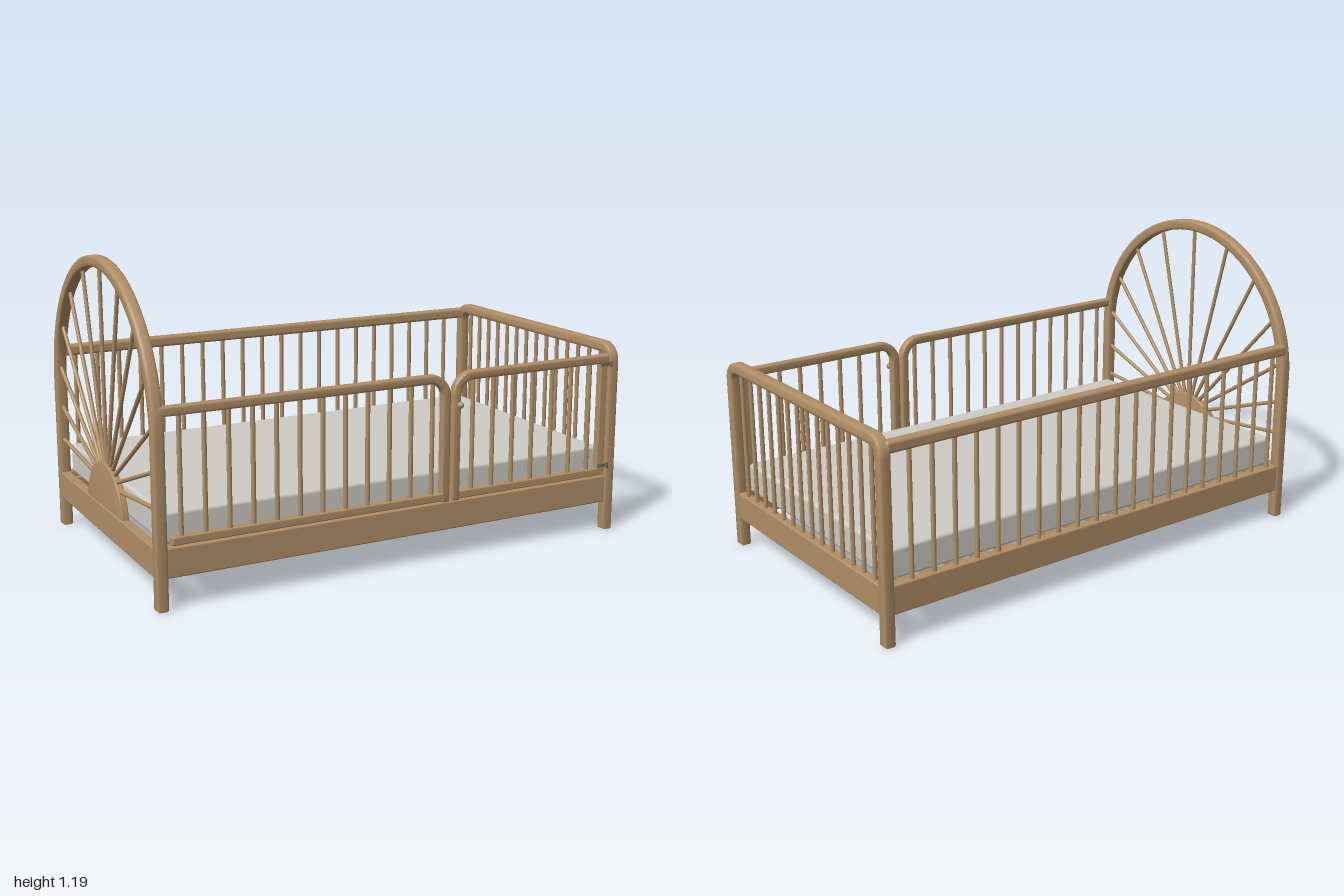
import * as THREE from 'three';
import { toCreasedNormals } from 'three/addons/utils/BufferGeometryUtils.js';
import { RoundedBoxGeometry } from 'three/addons/geometries/RoundedBoxGeometry.js';

const wood = new THREE.MeshStandardMaterial({ color: 0xb08e66 });
wood.name = 'oak wood';
const fabric = new THREE.MeshStandardMaterial({ color: 0xcdcbc4 });
fabric.name = 'mattress fabric';
const metal = new THREE.MeshStandardMaterial({ color: 0x6f675c });
metal.name = 'hinge metal';

const ZC = -0.009;      // middle of the frame in depth
const HALF = 0.571;     // half the frame width
const T = 0.043;        // frame member thickness
const PI = Math.PI;

function add(parent, name, geometry, material, x = 0, y = 0, z = 0) {
  const mesh = new THREE.Mesh(geometry, material);
  mesh.name = name;
  mesh.position.set(x, y, z);
  parent.add(mesh);
  return mesh;
}

// Box given by its limits, with softened edges
function bar(parent, name, x0, x1, y0, y1, z0, z1, r = 0.006, material = wood) {
  const g = new RoundedBoxGeometry(x1 - x0, y1 - y0, z1 - z0, 2, r);
  return add(parent, name, g, material, (x0 + x1) / 2, (y0 + y1) / 2, (z0 + z1) / 2);
}

// Extrusion centred on its own depth, with rounded edges inside the outline
function plate(shape, depth, bevel) {
  const g = new THREE.ExtrudeGeometry(shape, {
    depth: depth - 2 * bevel, bevelEnabled: true, bevelThickness: bevel,
    bevelSize: bevel, bevelOffset: -bevel, bevelSegments: 3, curveSegments: 32,
  });
  g.translate(0, 0, -depth / 2 + bevel);
  return toCreasedNormals(g, 0.6);
}

// Thin round rod between two points
function rod(parent, name, a, b, radius) {
  const d = new THREE.Vector3().subVectors(b, a);
  const mesh = add(parent, name, new THREE.CylinderGeometry(radius, radius, d.length(), 12), wood);
  mesh.position.addVectors(a, b).multiplyScalar(0.5);
  mesh.quaternion.setFromUnitVectors(new THREE.Vector3(0, 1, 0), d.normalize());
}

function spindles(parent, name, count, from, to, y0, y1, radius, place) {
  for (let i = 0; i < count; i++) {
    const [x, z] = place(from + (to - from) * i / (count - 1));
    rod(parent, name, new THREE.Vector3(x, y0, z), new THREE.Vector3(x, y1, z), radius);
  }
}

// Two legs joined by a top rail with round corners
function hoop(top, R) {
  const s = new THREE.Shape(), c = HALF - R, y = top - R, r = R - T;
  s.moveTo(HALF, 0);
  s.lineTo(HALF, y);
  s.absarc(c, y, R, 0, PI / 2, false);
  s.absarc(-c, y, R, PI / 2, PI, false);
  s.lineTo(-HALF, 0);
  s.lineTo(-HALF + T, 0);
  s.lineTo(-HALF + T, y);
  s.absarc(-c, y, r, PI, PI / 2, true);
  s.absarc(c, y, r, PI / 2, 0, true);
  s.lineTo(HALF - T, 0);
  s.closePath();
  return plate(s, 0.046, 0.01);
}

// Bed end: built in its own x-y plane, then turned to face along x
function bedEnd(name, x, top, R) {
  const g = new THREE.Group();
  g.name = name;
  g.position.set(x, 0, ZC);
  g.rotation.y = PI / 2;
  add(g, name + 'Frame', hoop(top, R), wood);
  bar(g, name + 'LowerRail', -HALF + 0.03, HALF - 0.03, 0.118, 0.229, -0.019, 0.019);
  return g;
}

function headboard() {
  const g = bedEnd('headboard', -0.977, 1.19, HALF);
  // Half-round sun sitting on the lower rail
  const R = 0.2, cy = 0.205, a = Math.asin(0.015 / R);
  const s = new THREE.Shape();
  s.absarc(0, cy, R, a, PI - a, false);
  s.closePath();
  add(g, 'sunDisc', plate(s, 0.028, 0.004), wood);
  // Rays run from the sun to the inside of the hoop
  const oy = 0.312, r = HALF - T + 0.006, arcY = 1.19 - HALF;
  for (let i = -6; i <= 6; i++) {
    const t = i * 14 * PI / 180, dx = Math.sin(t), dy = Math.cos(t), k = arcY - oy;
    let len = dy * k + Math.sqrt(r * r - k * k * dx * dx);
    if (oy + dy * len < arcY) len = r / Math.abs(dx);
    rod(g, 'sunRay', new THREE.Vector3(dx * 0.04, oy + dy * 0.04, 0),
      new THREE.Vector3(dx * len, oy + dy * len, 0), 0.008);
  }
  return g;
}

function footboard() {
  const g = bedEnd('footboard', 0.977, 0.782, 0.075);
  spindles(g, 'footSpindle', 14, -0.479, 0.479, 0.22, 0.75, 0.0085, (u) => [u, 0]);
  return g;
}

// Front guard panel: post with a round shoulder at local x = 0, rail toward +x
function guard(name, x, turned, length, lowerLength, count, first, last) {
  const g = new THREE.Group();
  g.name = name;
  g.position.set(x, 0, 0.538);
  if (turned) g.rotation.y = PI;
  const R = 0.09, t = 0.036, top = 0.737, s = new THREE.Shape();
  s.moveTo(0, 0.229);
  s.lineTo(t, 0.229);
  s.lineTo(t, top - R);
  s.absarc(R, top - R, R - t, PI, PI / 2, true);
  s.lineTo(length, top - t);
  s.lineTo(length, top);
  s.lineTo(R, top);
  s.absarc(R, top - R, R, PI / 2, PI, false);
  s.closePath();
  add(g, name + 'Frame', plate(s, 0.034, 0.008), wood);
  bar(g, name + 'LowerRail', 0.02, lowerLength, 0.234, 0.266, -0.015, 0.015);
  spindles(g, name + 'Spindle', count, first, last, 0.255, 0.715, 0.009, (u) => [u, 0]);
  return g;
}

export function createModel() {
  const bed = new THREE.Group();
  bed.name = 'toddlerBed';
  bed.add(headboard(), footboard());

  // Long base rails
  bar(bed, 'frontBaseRail', -0.965, 0.965, 0.118, 0.23, 0.518, 0.556);
  bar(bed, 'backBaseRail', -0.965, 0.965, 0.118, 0.23, -0.576, -0.538);

  // Back guard
  bar(bed, 'backTopRail', -0.97, 0.97, 0.715, 0.76, -0.579, -0.537, 0.012);
  spindles(bed, 'backSpindle', 20, -0.912, 0.87, 0.22, 0.73, 0.009, (u) => [u, -0.557]);

  // Front guard and gate
  bed.add(guard('frontGuard', 0.206, true, 1.18, 1.14, 12, 0.075, 1.101));
  const gate = guard('gate', 0.216, false, 0.745, 0.735, 7, 0.097, 0.655);
  bar(gate, 'gateHingeStile', 0.7, 0.735, 0.24, 0.72, -0.015, 0.015);
  bed.add(gate);

  // Gate knob
  rod(bed, 'knobStem', new THREE.Vector3(0.235, 0.613, 0.55), new THREE.Vector3(0.235, 0.613, 0.575), 0.006);
  add(bed, 'gateKnob', new THREE.SphereGeometry(0.013, 20, 14), wood, 0.235, 0.613, 0.574);

  // Gate hinges
  for (const y of [0.7, 0.278]) {
    bar(bed, 'hingePlate', 0.915, 0.962, y - 0.007, y + 0.007, 0.553, 0.561, 0.002, metal);
    add(bed, 'hingeBarrel', new THREE.CylinderGeometry(0.006, 0.006, 0.024, 12), metal, 0.956, y, 0.565);
  }

  // Mattress on cross slats and ledges
  bar(bed, 'mattress', -0.952, 0.948, 0.229, 0.349, -0.535, 0.515, 0.014, fabric);
  bar(bed, 'frontLedge', -0.95, 0.95, 0.175, 0.205, 0.495, 0.52, 0.003);
  bar(bed, 'backLedge', -0.95, 0.95, 0.175, 0.205, -0.54, -0.515, 0.003);
  for (let i = 0; i < 17; i++) {
    const x = -0.88 + i * 0.11;
    bar(bed, 'crossSlat', x - 0.03, x + 0.03, 0.205, 0.228, -0.535, 0.515, 0.003);
  }
  return bed;
}
